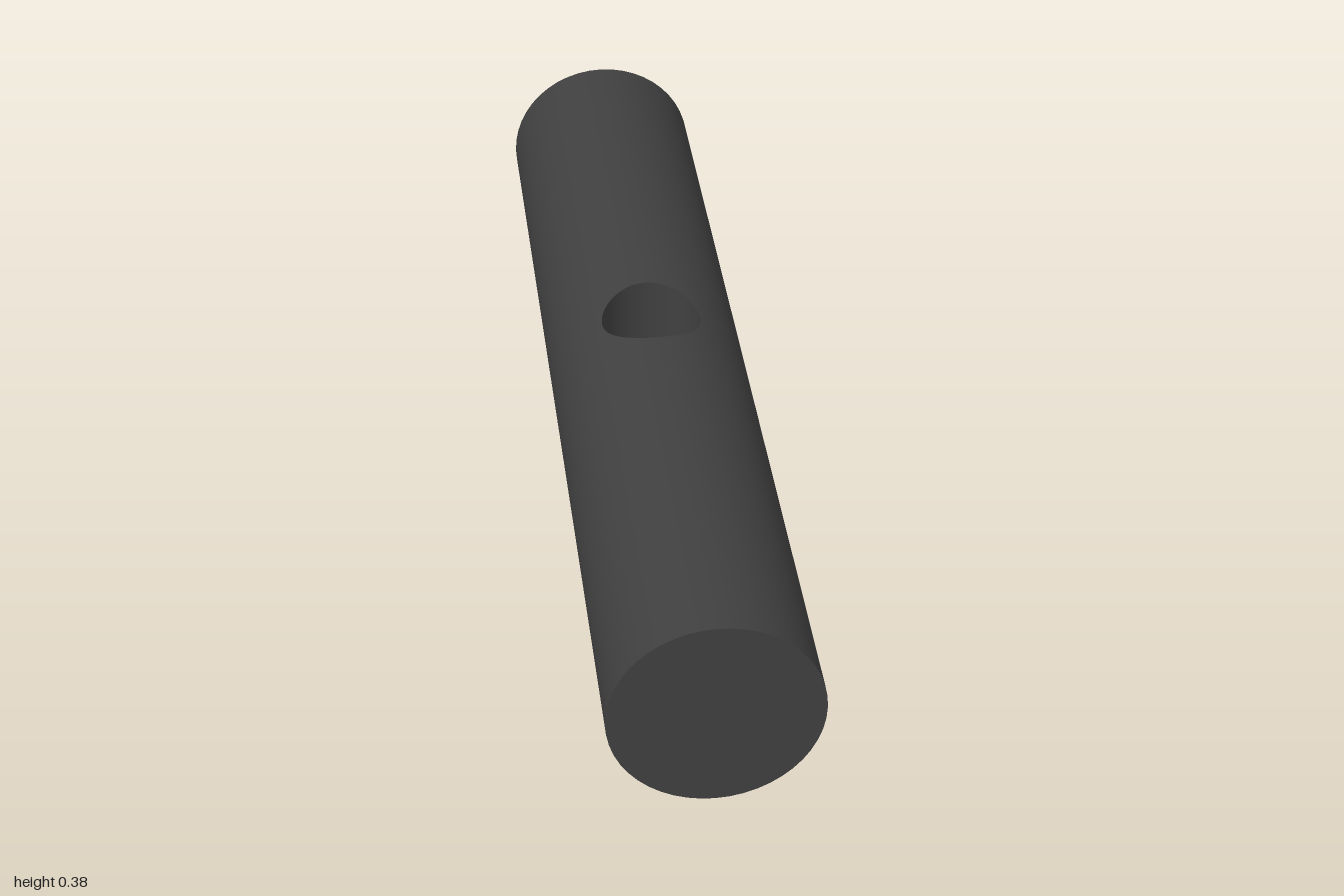
import * as THREE from 'three';
import { ParametricGeometry } from 'three/addons/geometries/ParametricGeometry.js';

const R = 0.19;                    // body radius
const FRONT = 1, BACK = -0.905;    // body ends along z
const HOLE_R = 0.095, HOLE_Z = 0.045;
const BAND = 0.19;                 // half length of the drilled section
const SIDES = 48;

export function createModel() {
  const material = new THREE.MeshStandardMaterial({ color: 0x404040 });
  const model = new THREE.Group();
  const shaft = new THREE.Group();
  shaft.name = 'shaft';
  shaft.position.y = R;
  model.add(shaft);

  const add = (name, geometry) => {
    const mesh = new THREE.Mesh(geometry, material);
    mesh.name = name;
    shaft.add(mesh);
    return mesh;
  };

  // Cylinder lying along z between two positions
  const rod = (name, radius, z0, z1, sides, open) => {
    const g = new THREE.CylinderGeometry(radius, radius, z1 - z0, sides, 1, open);
    g.rotateX(Math.PI / 2).translate(0, 0, (z0 + z1) / 2);
    return add(name, g);
  };

  // Plain lengths either side of the hole
  rod('frontBarrel', R, HOLE_Z + BAND, FRONT, SIDES, true);
  rod('backBarrel', R, BACK, HOLE_Z - BAND, SIDES, true);

  // Flat ends
  add('frontCap', new THREE.CircleGeometry(R, SIDES)).position.z = FRONT;
  const backCap = add('backCap', new THREE.CircleGeometry(R, SIDES));
  backCap.position.z = BACK;
  backCap.rotation.y = Math.PI;

  // Drilled section: half a barrel, blended from the hole edge out to a rectangle
  const square = (c) => THREE.MathUtils.clamp((4 / Math.PI) * Math.asin(THREE.MathUtils.clamp(c, -1, 1)), -1, 1);
  const drilledSkin = (u, v, p) => {
    const t = u * Math.PI * 2, c = Math.cos(t), s = Math.sin(t);
    const angle = THREE.MathUtils.lerp(Math.asin((HOLE_R * c) / R), (Math.PI / 2) * square(c), v);
    const z = THREE.MathUtils.lerp(HOLE_R * s, BAND * square(s), v);
    p.set(R * Math.sin(angle), R * Math.cos(angle), HOLE_Z + z);
  };
  const skin = new ParametricGeometry(drilledSkin, SIDES * 2, 12);
  add('drilledTop', skin);
  add('drilledBottom', skin).rotation.z = Math.PI;

  // Wall of the through hole, facing inward
  const holeWall = (u, v, p) => {
    const t = u * Math.PI * 2, x = HOLE_R * Math.cos(t);
    p.set(x, (2 * v - 1) * Math.sqrt(R * R - x * x), HOLE_Z + HOLE_R * Math.sin(t));
  };
  add('holeWall', new ParametricGeometry(holeWall, SIDES * 2, 2));

  // Small pin on the back end
  rod('backPin', 0.047, -1, BACK, 32, false);

  return model;
}
